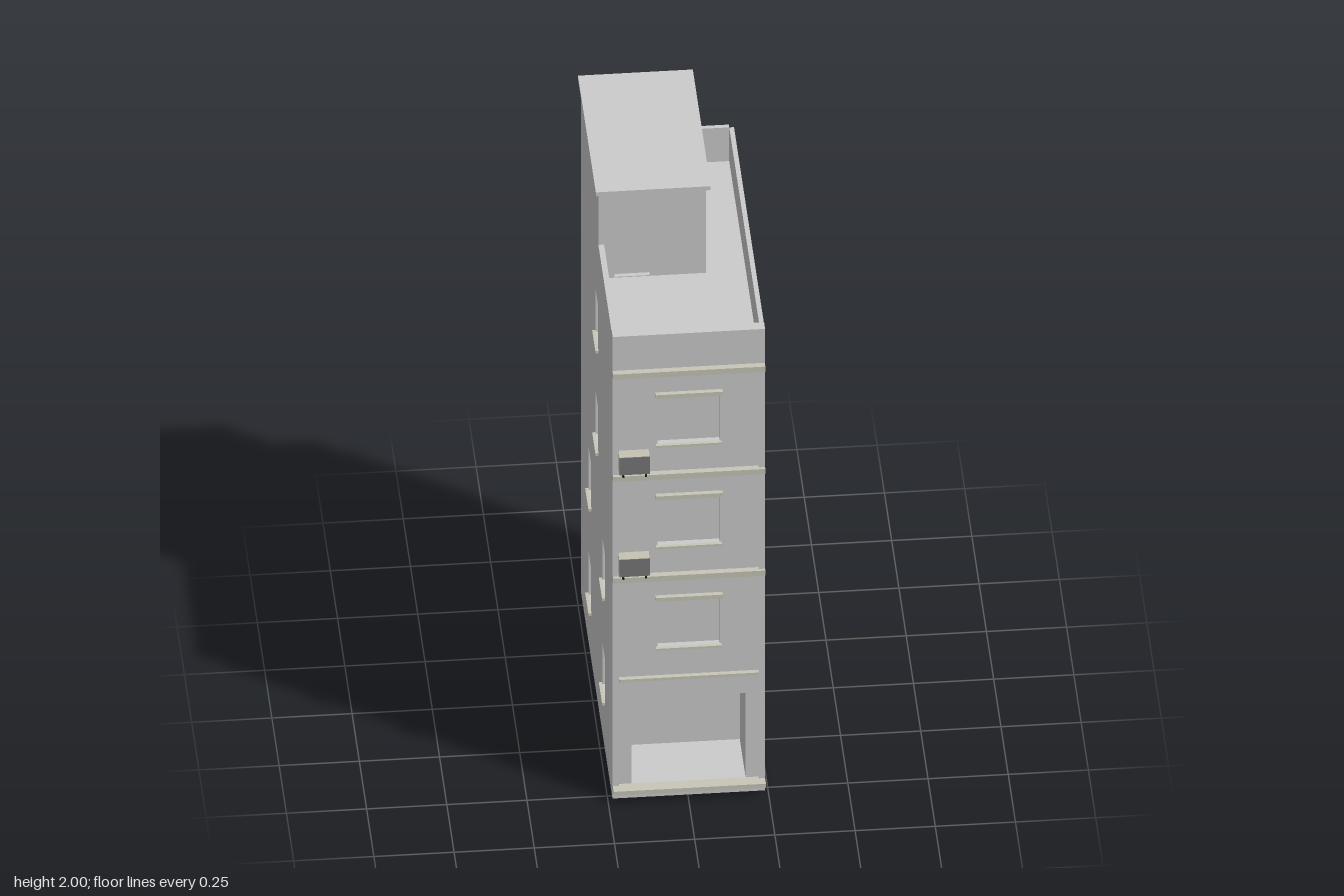
import * as THREE from 'three';

const mat = (color) => new THREE.MeshStandardMaterial({ color, side: THREE.DoubleSide, flatShading: true });
const grey = mat(0xcccccc), trim = mat(0xc8c6b8), casing = mat(0xc6c3b2), grille = mat(0x777777), black = mat(0x181818);

// Limits of the building shell
const L = -0.235, R = 0.24, F = 0.515, B = -0.56, DECK = 1.65;

export function createModel() {
  const model = new THREE.Group();

  const add = (name, geo, material = grey) => {
    const mesh = new THREE.Mesh(geo, material);
    mesh.name = name;
    model.add(mesh);
    return mesh;
  };

  // Box given by its limits on each axis
  const boxGeo = (x0, x1, y0, y1, z0, z1) =>
    new THREE.BoxGeometry(x1 - x0, y1 - y0, z1 - z0).translate((x0 + x1) / 2, (y0 + y1) / 2, (z0 + z1) / 2);
  const box = (name, lim, material) => add(name, boxGeo(...lim), material);

  // Box with one face left out (0..5 = +x, -x, +y, -y, +z, -z)
  const openBox = (name, lim, face, material) => {
    const geo = boxGeo(...lim);
    const index = Array.from(geo.index.array);
    index.splice(face * 6, 6);
    geo.setIndex(index);
    geo.clearGroups();
    return add(name, geo, material);
  };

  // Flat wall sheet with rectangular openings [u0, u1, v0, v1]
  const wallGeo = (u0, u1, v0, v1, holes = []) => {
    const corners = (a, b, c, d) => [[a, c], [b, c], [b, d], [a, d]].map((p) => new THREE.Vector2(...p));
    const shape = new THREE.Shape(corners(u0, u1, v0, v1));
    holes.forEach((h) => shape.holes.push(new THREE.Path(corners(...h).reverse())));
    return new THREE.ShapeGeometry(shape);
  };

  // Front wall with shop opening and three windows
  const shop = [-0.175, 0.18, 0.055, 0.38];
  const frontWindows = [0.575, 0.967, 1.358].map((y) => [-0.095, 0.1, y, y + 0.19]);
  add('frontWall', wallGeo(L, R, 0, DECK, [shop, ...frontWindows]).translate(0, 0, F));
  openBox('shopInterior', [...shop, F - 0.2, F], 4);
  for (const [x0, x1, y0, y1] of frontWindows) {
    openBox('frontWindow', [x0, x1, y0, y1, F - 0.02, F], 4);
    box('frontWindowLintel', [-0.102, 0.108, y1 - 0.005, y1 + 0.01, F, 0.53], trim);
    box('frontWindowSill', [-0.1, 0.105, y0 - 0.006, y0 + 0.002, F, 0.527], trim);
  }

  // Side wall with small windows at [z centre, sill height]
  const sideWindows = [[-0.26, 0.185], [0.21, 0.185], [-0.26, 0.588], [0.21, 0.588], [-0.02, 0.98], [-0.02, 1.375]]
    .map(([z, y]) => [z - 0.045, z + 0.045, y, y + 0.165]);
  add('windowedSideWall', wallGeo(B, F, 0, DECK, sideWindows).rotateY(-Math.PI / 2).translate(L, 0, 0));
  for (const [z0, z1, y0, y1] of sideWindows) {
    openBox('sideWindow', [L, L + 0.02, y0, y1, z0, z1], 1);
    box('sideWindowSill', [L - 0.01, L, y0 - 0.01, y0, z0 - 0.01, z1 + 0.01], trim);
  }

  // Plain side, back and roof deck
  add('plainSideWall', wallGeo(B, F, 0, DECK).rotateY(-Math.PI / 2).translate(R, 0, 0));
  add('backWall', wallGeo(-R, -L, 0, DECK).rotateY(Math.PI).translate(0, 0, B));
  add('roofDeck', wallGeo(L, R, -F, -B).rotateX(-Math.PI / 2).translate(0, DECK, 0));

  // Parapets around the deck
  box('frontParapet', [L, R, DECK, 1.776, 0.5, F]);
  box('parapetCap', [L, R, 1.776, 1.788, 0.49, 0.525]);
  box('leftParapet', [R - 0.015, R, DECK, 1.78, -0.545, 0.5]);
  box('rightParapet', [L, L + 0.018, DECK, 1.78, 0.03, 0.5]);
  box('backParapet', [0.1, R - 0.015, DECK, 1.78, B, -0.545]);

  // Stair house with recessed door and roof slab
  const door = [-0.185, -0.075, DECK + 0.003, 1.915];
  openBox('stairHouse', [L, 0.1, DECK, 1.985, B, 0.03], 4);
  add('stairHouseFront', wallGeo(L, 0.1, DECK, 1.985, [door]).translate(0, 0, 0.03));
  openBox('stairHouseDoor', [...door, 0.015, 0.03], 4);
  box('stairHouseRoof', [-0.245, 0.113, 1.985, 2, B, 0.053]);

  // Facade pilasters, floor bands, shop step and shop header
  box('pilaster', [L, L + 0.02, 0.055, 1.63, F, 0.525]);
  box('pilaster', [R - 0.02, R, 0.055, 1.63, F, 0.525]);
  for (const y of [0.843, 1.235, 1.63]) box('floorBand', [L, R, y, y + 0.02, F, 0.535], trim);
  box('shopHeaderBand', [L + 0.02, R - 0.02, 0.457, 0.467, F, 0.53], trim);
  box('shopStep', [L, R, 0.04, 0.055, F, 0.555], trim);

  // Air conditioners on brackets
  for (const y of [0.882, 1.275]) {
    box('airConditioner', [-0.217, -0.122, y, y + 0.066, F, 0.553], casing);
    box('airConditionerGrille', [-0.217, -0.122, y, y + 0.066, 0.553, 0.555], grille);
    for (const x of [-0.205, -0.134]) box('bracket', [x - 0.003, x + 0.003, y - 0.007, y, F, 0.56], black);
  }

  return model;
}
